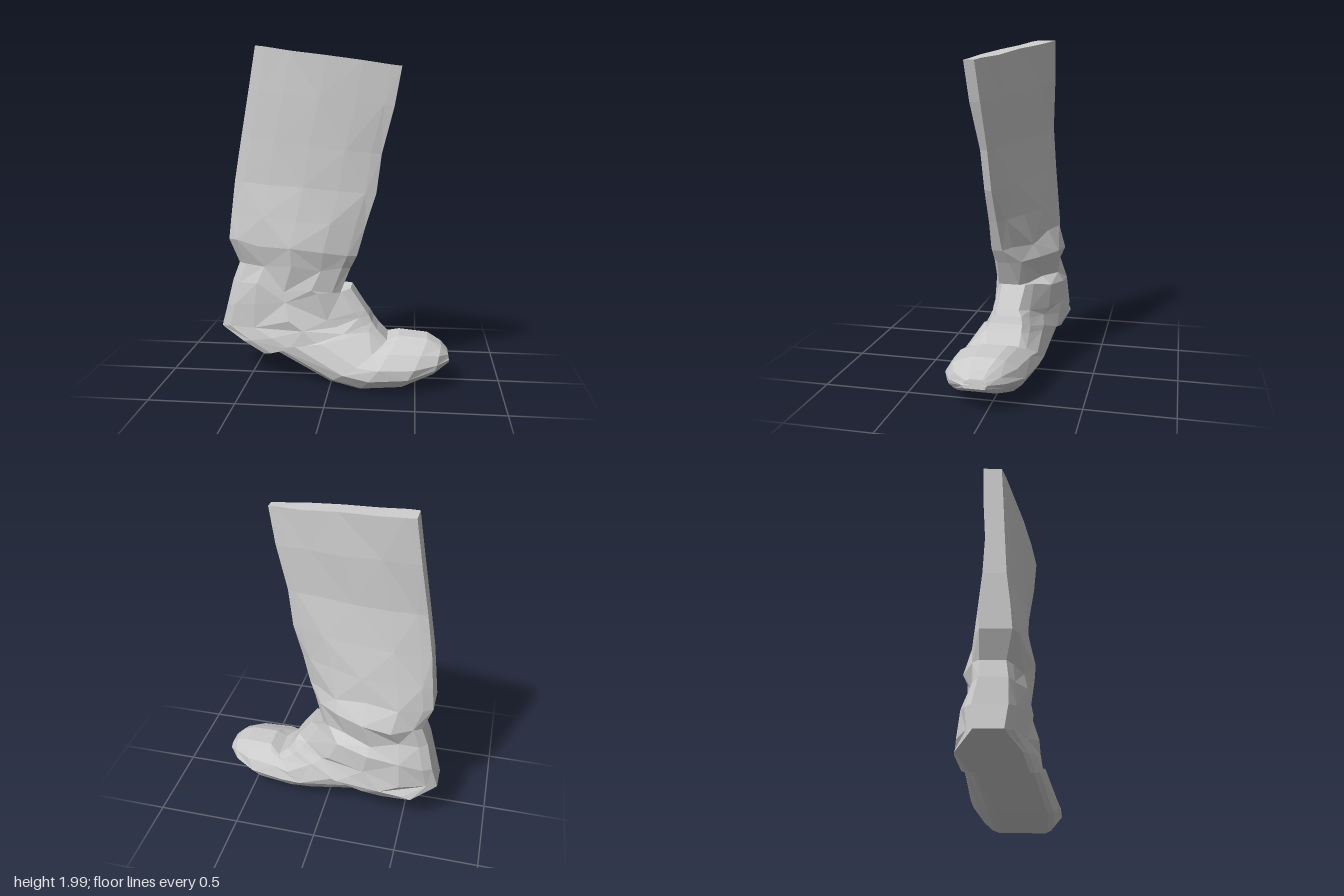
import * as THREE from 'three';

// Each section runs from a heel-side edge to a shin-side edge:
// [backX, backY, frontX, frontY, back z low, high, front z low, high, bulge low, high]
const shaftSections = [
  [-0.47, 2.00, 0.40, 1.87, -0.17, -0.06, 0.12, 0.18, 0.01, 0.02],
  [-0.51, 1.75, 0.36, 1.65, -0.165, -0.05, 0.10, 0.16, 0.02, 0.02],
  [-0.56, 1.45, 0.29, 1.38, -0.15, -0.04, 0.08, 0.12, 0.03, 0.03],
  [-0.60, 1.20, 0.26, 1.15, -0.16, -0.03, 0.065, 0.105, 0.06, 0.04],
  [-0.62, 1.00, 0.20, 0.96, -0.17, -0.01, 0.05, 0.095, 0.09, 0.065],
  [-0.635, 0.85, 0.15, 0.78, -0.17, 0.00, 0.03, 0.09, 0.115, 0.085],
  [-0.58, 0.70, 0.11, 0.70, -0.17, -0.03, 0.00, 0.07, 0.16, 0.095],
  [-0.62, 0.59, 0.05, 0.55, -0.17, -0.02, -0.05, 0.07, 0.11, 0.09],
];
const footSections = [
  shaftSections[7],
  [-0.66, 0.43, 0.11, 0.57, -0.20, -0.02, -0.10, 0.04, 0.12, 0.11],
  [-0.70, 0.29, 0.20, 0.44, -0.19, -0.04, -0.08, 0.05, 0.14, 0.13],
  [-0.55, 0.225, 0.22, 0.41, -0.28, 0.05, -0.10, 0.05, 0.07, 0.10],
  [-0.41, 0.16, 0.24, 0.37, -0.21, 0.09, -0.11, 0.06, 0.10, 0.10],
  [-0.37, 0.205, 0.27, 0.33, -0.19, 0.10, -0.11, 0.07, 0.10, 0.11],
  [0.00, 0.05, 0.33, 0.27, -0.08, 0.20, -0.11, 0.08, 0.13, 0.13],
  [0.18, 0.01, 0.40, 0.30, -0.05, 0.21, -0.06, 0.08, 0.16, 0.15],
  [0.42, 0.03, 0.57, 0.29, -0.06, 0.21, -0.04, 0.09, 0.13, 0.13],
  [0.60, 0.10, 0.65, 0.25, -0.04, 0.17, -0.01, 0.09, 0.08, 0.09],
  [0.70, 0.16, 0.69, 0.21, 0.00, 0.11, 0.01, 0.08, 0.02, 0.02],
];

// Steps along a section, near side from shin to heel
const STEPS = [1, 0.93, 0.75, 0.5, 0.25, 0.07, 0];
const SIDES = STEPS.length * 2;

// Blunt-ended lens around one section, wrinkled near the ankle
function ring([bx, by, fx, fy, bLo, bHi, fLo, fHi, bulgeLo, bulgeHi]) {
  const { lerp } = THREE.MathUtils;
  const midY = (by + fy) / 2;
  const crease = midY > 0.3 && midY < 0.9 ? 0.013 : 0.003;
  const point = (t, high, j) => {
    const round = Math.pow(Math.max(0, Math.sin(Math.PI * t)), 0.75);
    const fold = crease * round * Math.sin(j * 2.6 + midY * 17);
    const z = high ? lerp(bHi, fHi, t) + bulgeHi * round : lerp(bLo, fLo, t) - bulgeLo * round;
    return new THREE.Vector3(lerp(bx, fx, t), lerp(by, fy, t) + fold * 1.5, z + fold);
  };
  const near = STEPS.map((t, j) => point(t, true, j));
  const far = STEPS.map((t, j) => point(1 - t, false, j + STEPS.length));
  return [...near, ...far];
}

function centre(points) {
  return points.reduce((s, p) => s.add(p), new THREE.Vector3()).divideScalar(points.length);
}

function facetedMesh(name, triangles, material) {
  const geo = new THREE.BufferGeometry().setFromPoints(triangles);
  geo.computeVertexNormals();
  const mesh = new THREE.Mesh(geo, material);
  mesh.name = name;
  return mesh;
}

// Triangles between neighbouring rings, with alternating diagonals
function skin(rings) {
  const tris = [];
  for (let i = 0; i < rings.length - 1; i++) {
    for (let j = 0; j < SIDES; j++) {
      const k = (j + 1) % SIDES;
      const a = rings[i][j], b = rings[i][k], c = rings[i + 1][j], d = rings[i + 1][k];
      if ((i + j) % 2) tris.push(a, b, c, b, d, c);
      else tris.push(a, b, d, a, d, c);
    }
  }
  return tris;
}

// Fan closing a ring
function fan(points) {
  const mid = centre(points);
  return points.flatMap((p, j) => [mid, p, points[(j + 1) % points.length]]);
}

export function createModel() {
  const group = new THREE.Group();
  group.name = 'boot';
  const leather = new THREE.MeshStandardMaterial({
    color: 0xcccccc, flatShading: true, side: THREE.DoubleSide,
  });

  // Tall flattened shaft, slumping into folds at the ankle
  const shaft = shaftSections.map(ring);
  group.add(facetedMesh('shaft', skin(shaft), leather));

  // Sections fan round the instep from the ankle, over the heel, to the toe
  const foot = footSections.map(ring);
  group.add(facetedMesh('foot', [...skin(foot), ...fan(foot[foot.length - 1])], leather));

  // Flat strip closing the squashed top: paired points of the two sides
  const rim = shaft[0];
  const strip = [];
  for (let j = 0; j < STEPS.length - 1; j++) {
    const a = rim[j], b = rim[j + 1], c = rim[SIDES - 1 - j], d = rim[SIDES - 2 - j];
    strip.push(a, c, b, b, c, d);
  }
  group.add(facetedMesh('topOpening', strip, leather));

  return group;
}
